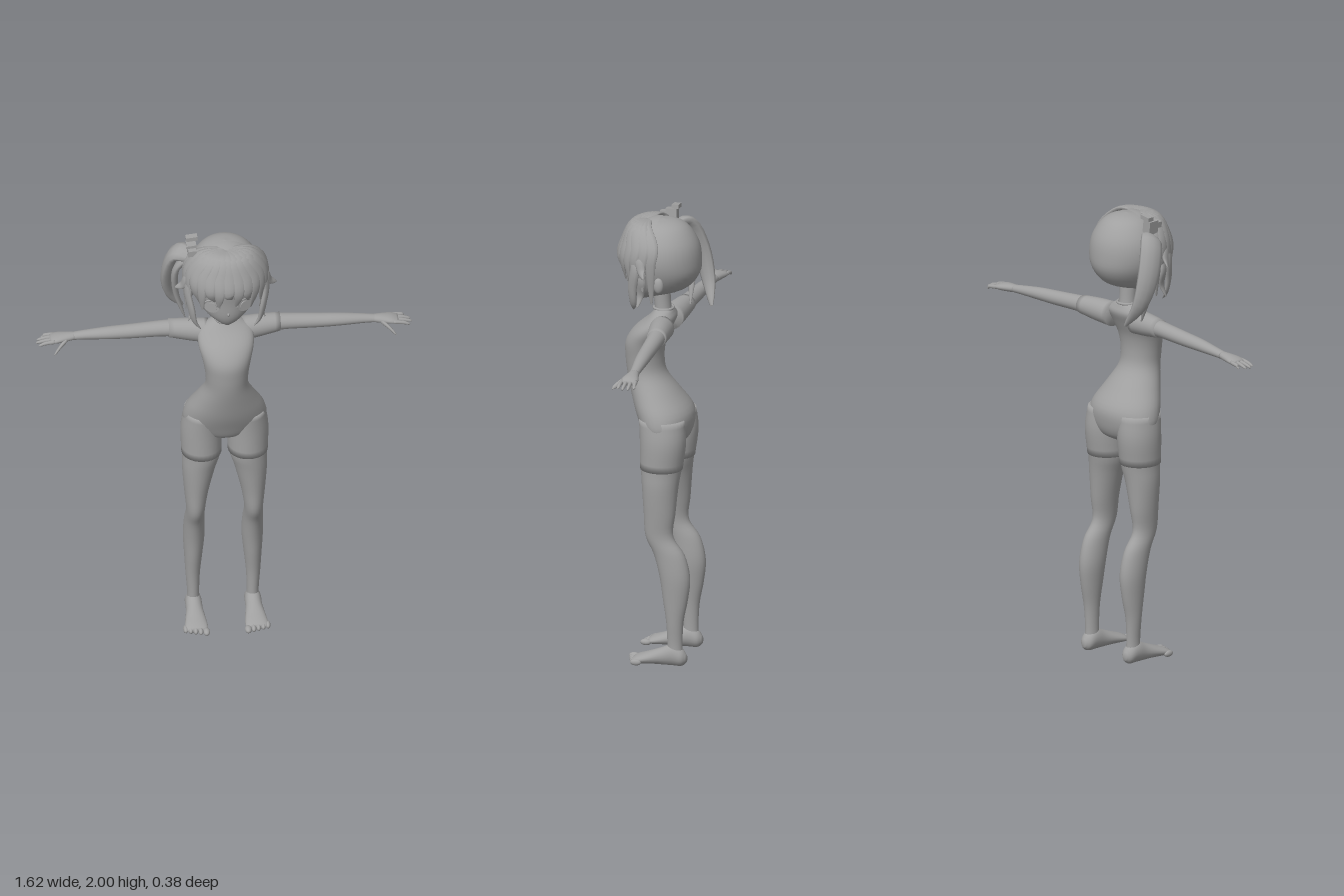
import * as THREE from 'three';

const grey = new THREE.MeshStandardMaterial({ color: 0xa0a0a0 });
grey.name = 'plain grey';

const V = (x, y, z) => new THREE.Vector3(x, y, z);
const AXES = {
  x: [V(0, 1, 0), V(0, 0, 1)],
  y: [V(0, 0, 1), V(1, 0, 0)],
  z: [V(1, 0, 0), V(0, 1, 0)],
};

// closed tube through rings of { c, U, W, u, w }
function skin(rings, n) {
  const pos = [], idx = [];
  for (const r of rings) {
    for (let j = 0; j < n; j++) {
      const a = (j / n) * Math.PI * 2;
      const p = r.c.clone().addScaledVector(r.U, Math.cos(a) * r.u).addScaledVector(r.W, Math.sin(a) * r.w);
      pos.push(p.x, p.y, p.z);
    }
  }
  for (let i = 0; i < rings.length - 1; i++) {
    for (let j = 0; j < n; j++) {
      const a = i * n + j, b = i * n + ((j + 1) % n);
      idx.push(a, b, a + n, b, b + n, a + n);
    }
  }
  const last = pos.length / 3;
  const first = rings[0].c, end = rings[rings.length - 1].c;
  pos.push(first.x, first.y, first.z, end.x, end.y, end.z);
  for (let j = 0; j < n; j++) {
    const k = (j + 1) % n, o = (rings.length - 1) * n;
    idx.push(last, k, j, last + 1, o + j, o + k);
  }
  const g = new THREE.BufferGeometry();
  g.setAttribute('position', new THREE.Float32BufferAttribute(pos, 3));
  g.setIndex(idx);
  g.computeVertexNormals();
  return g;
}

// smooth loft; sections are [x, y, z, radiusU, radiusW], ascending along the axis
function loft(axis, sections, n = 24, grow = 0) {
  const centre = new THREE.CatmullRomCurve3(sections.map(s => V(s[0], s[1], s[2])), false, 'catmullrom');
  const size = new THREE.CatmullRomCurve3(sections.map(s => V(s[3], s[4], 0)), false, 'catmullrom');
  const [U, W] = AXES[axis], steps = (sections.length - 1) * 4, rings = [];
  for (let i = 0; i <= steps; i++) {
    const r = size.getPoint(i / steps);
    rings.push({ c: centre.getPoint(i / steps), U, W, u: Math.max(r.x, 0.001) + grow, w: Math.max(r.y, 0.001) + grow });
  }
  return skin(rings, n);
}

// flat tapering lock of hair, its thin side facing away from the head
function lock(points, width, thick, hub = V(0, 1.78, -0.01)) {
  const curve = new THREE.CatmullRomCurve3(points.map(p => V(...p)));
  const rings = [];
  for (let i = 0; i <= 16; i++) {
    const t = i / 16, c = curve.getPoint(t), T = curve.getTangent(t);
    const U = c.clone().sub(hub);
    U.addScaledVector(T, -U.dot(T)).normalize();
    const k = 0.02 + Math.pow(Math.sin(Math.PI * Math.pow(t * 0.9 + 0.08, 0.8)), 0.7);
    rings.push({ c, U, W: T.clone().cross(U), u: thick * k, w: width * k });
  }
  return skin(rings, 10);
}

function ball(x, y, z, rx, ry, rz) {
  return new THREE.SphereGeometry(1, 20, 14).scale(rx, ry, rz).translate(x, y, z);
}

function mirrored(geo) {
  const g = geo.clone(), a = g.index.array;
  g.scale(-1, 1, 1);
  for (let i = 0; i < a.length; i += 3) [a[i], a[i + 1]] = [a[i + 1], a[i]];
  g.computeVertexNormals();
  return g;
}

export function createModel() {
  const model = new THREE.Group();
  model.name = 'doll';
  const add = (name, geo) => {
    const m = new THREE.Mesh(geo, grey);
    m.name = name;
    model.add(m);
  };
  const pair = (name, geo) => {
    add(name + 'Left', geo);
    add(name + 'Right', mirrored(geo));
  };

  // one-piece outfit
  add('onePiece', loft('y', [
    [0, 0.97, -0.03, 0.05, 0.05], [0, 0.995, -0.035, 0.085, 0.13], [0, 1.05, -0.033, 0.108, 0.178],
    [0, 1.12, -0.018, 0.122, 0.17], [0, 1.2, 0.022, 0.105, 0.13], [0, 1.28, 0.06, 0.085, 0.094],
    [0, 1.35, 0.07, 0.083, 0.093], [0, 1.42, 0.065, 0.086, 0.105], [0, 1.48, 0.035, 0.08, 0.12],
    [0, 1.53, -0.005, 0.062, 0.115], [0, 1.56, -0.015, 0.045, 0.075], [0, 1.575, -0.015, 0.038, 0.046]], 36));
  add('collar', new THREE.TorusGeometry(0.042, 0.006, 8, 28).rotateX(Math.PI / 2).translate(0, 1.575, -0.013));
  add('neck', loft('y', [[0, 1.54, -0.015, 0.036, 0.04], [0, 1.6, -0.008, 0.036, 0.037], [0, 1.69, 0, 0.04, 0.04]]));

  // legs with shorts over the thighs
  const thigh = [[0.1, 0.88, -0.03, 0.088, 0.082], [0.1, 1.0, -0.037, 0.096, 0.085], [0.095, 1.1, -0.03, 0.095, 0.075]];
  pair('leg', loft('y', [
    [0.128, 0.03, -0.1, 0.035, 0.03], [0.128, 0.1, -0.098, 0.033, 0.026], [0.13, 0.2, -0.098, 0.038, 0.031],
    [0.128, 0.3, -0.1, 0.055, 0.039], [0.126, 0.4, -0.097, 0.067, 0.046], [0.126, 0.5, -0.072, 0.068, 0.043],
    [0.125, 0.58, -0.028, 0.061, 0.04], [0.122, 0.68, -0.028, 0.069, 0.052], [0.112, 0.8, -0.028, 0.079, 0.071],
    ...thigh]));
  pair('shorts', loft('y', thigh, 28, 0.004));

  // feet and toes
  pair('foot', loft('z', [
    [0.128, 0.035, -0.15, 0.012, 0.015], [0.128, 0.04, -0.13, 0.032, 0.037], [0.128, 0.05, -0.09, 0.036, 0.048],
    [0.128, 0.04, -0.04, 0.037, 0.038], [0.129, 0.029, 0.02, 0.046, 0.026], [0.13, 0.021, 0.065, 0.05, 0.018],
    [0.13, 0.018, 0.085, 0.04, 0.01]], 20));
  for (let i = 0; i < 5; i++) {
    const r = i ? 0.011 : 0.015;
    pair('toe' + (i + 1), ball(0.09 + i * 0.021 + (i ? 0.003 : 0), 0.016, 0.092 - i * 0.007, r, 0.014, 0.024));
  }

  // arms, sleeves, hands
  const upper = [[0.07, 1.505, -0.025, 0.05, 0.05], [0.15, 1.51, -0.035, 0.046, 0.045], [0.24, 1.515, -0.046, 0.036, 0.038]];
  pair('arm', loft('x', [...upper, [0.4, 1.507, -0.05, 0.031, 0.033], [0.5, 1.503, -0.053, 0.027, 0.03],
    [0.6, 1.497, -0.058, 0.02, 0.023], [0.66, 1.492, -0.06, 0.016, 0.02]]));
  pair('sleeve', loft('x', upper, 24, 0.004));
  pair('hand', loft('x', [[0.64, 1.494, -0.06, 0.016, 0.02], [0.68, 1.491, -0.06, 0.018, 0.029],
    [0.72, 1.488, -0.06, 0.016, 0.038], [0.75, 1.484, -0.06, 0.01, 0.035]], 18));
  for (let i = 0; i < 4; i++) {
    const z = -0.09 + i * 0.02, tip = [0.785, 0.805, 0.81, 0.8][i];
    pair('finger' + (i + 1), loft('x', [[0.73, 1.487, z, 0.009, 0.009], [0.77, 1.482, z * 1.06 + 0.002, 0.008, 0.008],
      [tip - 0.008, 1.475, z * 1.1 + 0.004, 0.006, 0.006], [tip, 1.473, z * 1.1 + 0.004, 0.001, 0.001]], 10));
  }
  pair('thumb', loft('x', [[0.675, 1.488, -0.045, 0.012, 0.014], [0.705, 1.472, -0.018, 0.01, 0.012],
    [0.728, 1.455, 0.004, 0.008, 0.009], [0.738, 1.447, 0.012, 0.001, 0.001]], 12));

  // head and face
  add('head', loft('y', [
    [0, 1.61, 0.085, 0.012, 0.012], [0, 1.635, 0.06, 0.06, 0.055], [0, 1.675, 0.01, 0.125, 0.108],
    [0, 1.74, -0.015, 0.155, 0.145], [0, 1.81, -0.015, 0.162, 0.16], [0, 1.88, -0.015, 0.148, 0.148],
    [0, 1.94, -0.015, 0.108, 0.108], [0, 1.968, -0.015, 0.06, 0.06], [0, 1.977, -0.015, 0.002, 0.002]], 36));
  add('nose', ball(0, 1.69, 0.13, 0.007, 0.011, 0.014));
  add('mouth', ball(0, 1.655, 0.105, 0.016, 0.003, 0.008));
  const eye = (r, h, z) => new THREE.CylinderGeometry(r, r, 0.008, 24).rotateX(Math.PI / 2)
    .scale(1, h, 1).rotateY(0.42).translate(0.07, 1.728, z);
  pair('eye', eye(0.034, 0.85, 0.121));
  pair('iris', eye(0.021, 1.1, 0.126));
  pair('eyelid', new THREE.TorusGeometry(0.036, 0.004, 8, 20, Math.PI).scale(1, 0.85, 1).rotateY(0.42).translate(0.07, 1.73, 0.124));
  pair('ear', ball(0.147, 1.72, -0.03, 0.016, 0.035, 0.022));

  // front hair: a cap over the brow, then locks fanning from the crown
  const cap = new THREE.SphereGeometry(1, 32, 16, 0, Math.PI, 0, 1.25);
  cap.scale(-0.168, 0.185, 0.175).scale(-1, 1, 1).translate(0, 1.797, 0);
  const capMesh = new THREE.Mesh(cap, new THREE.MeshStandardMaterial({ color: 0xa0a0a0, side: THREE.DoubleSide }));
  capMesh.material.name = 'plain grey hair';
  capMesh.name = 'hairCap';
  model.add(capMesh);
  const count = 15;
  for (let i = 0; i < count; i++) {
    const k = (i / (count - 1)) * 2 - 1, a = k * 1.65, s = Math.sin(a), c = Math.cos(a);
    const tip = 1.765 - 0.12 * Math.pow(Math.abs(k), 1.5) + (i % 2 ? 0.025 : -0.01);
    const sway = i % 2 ? 0.012 : -0.008;
    add('hairLock' + (i + 1), lock([[0, 1.965, 0.055], [s * 0.1, 1.955, 0.05 + c * 0.07],
      [s * 0.163, 1.89, 0.012 + c * 0.145], [s * 0.178, 1.82, 0.012 + c * 0.168],
      [s * 0.16 + sway, tip, 0.012 + c * 0.153]], 0.034, 0.012));
  }
  // long side locks and outward flicks
  pair('sideLock', lock([[0.12, 1.88, 0.09], [0.168, 1.8, 0.07], [0.155, 1.7, 0.085], [0.14, 1.63, 0.085], [0.115, 1.595, 0.09]], 0.024, 0.012));
  pair('cheekLock', lock([[0.13, 1.85, 0.06], [0.17, 1.75, 0.04], [0.15, 1.67, 0.05], [0.165, 1.62, 0.06]], 0.02, 0.01));
  pair('flick', lock([[0.11, 1.9, 0.07], [0.17, 1.84, 0.05], [0.19, 1.79, 0.035], [0.218, 1.77, 0.02]], 0.022, 0.01));

  // side ponytail
  add('ponytail', lock([[-0.14, 1.9, -0.02], [-0.2, 1.9, -0.06], [-0.238, 1.78, -0.11],
    [-0.225, 1.64, -0.15], [-0.165, 1.54, -0.18]], 0.05, 0.026));
  add('ponytailInner', lock([[-0.15, 1.9, -0.02], [-0.205, 1.82, -0.05], [-0.205, 1.68, -0.08], [-0.165, 1.54, -0.085]], 0.024, 0.015));

  // hair clip
  const box = (w, h, d, x, y, z) => new THREE.BoxGeometry(w, h, d).rotateZ(0.12).translate(x, y, z);
  add('clipBase', box(0.042, 0.06, 0.05, -0.143, 1.945, -0.01));
  add('clipTop', box(0.05, 0.018, 0.03, -0.142, 1.988, -0.03));
  add('clipFront', box(0.034, 0.026, 0.03, -0.143, 1.95, 0.025));
  return model;
}
